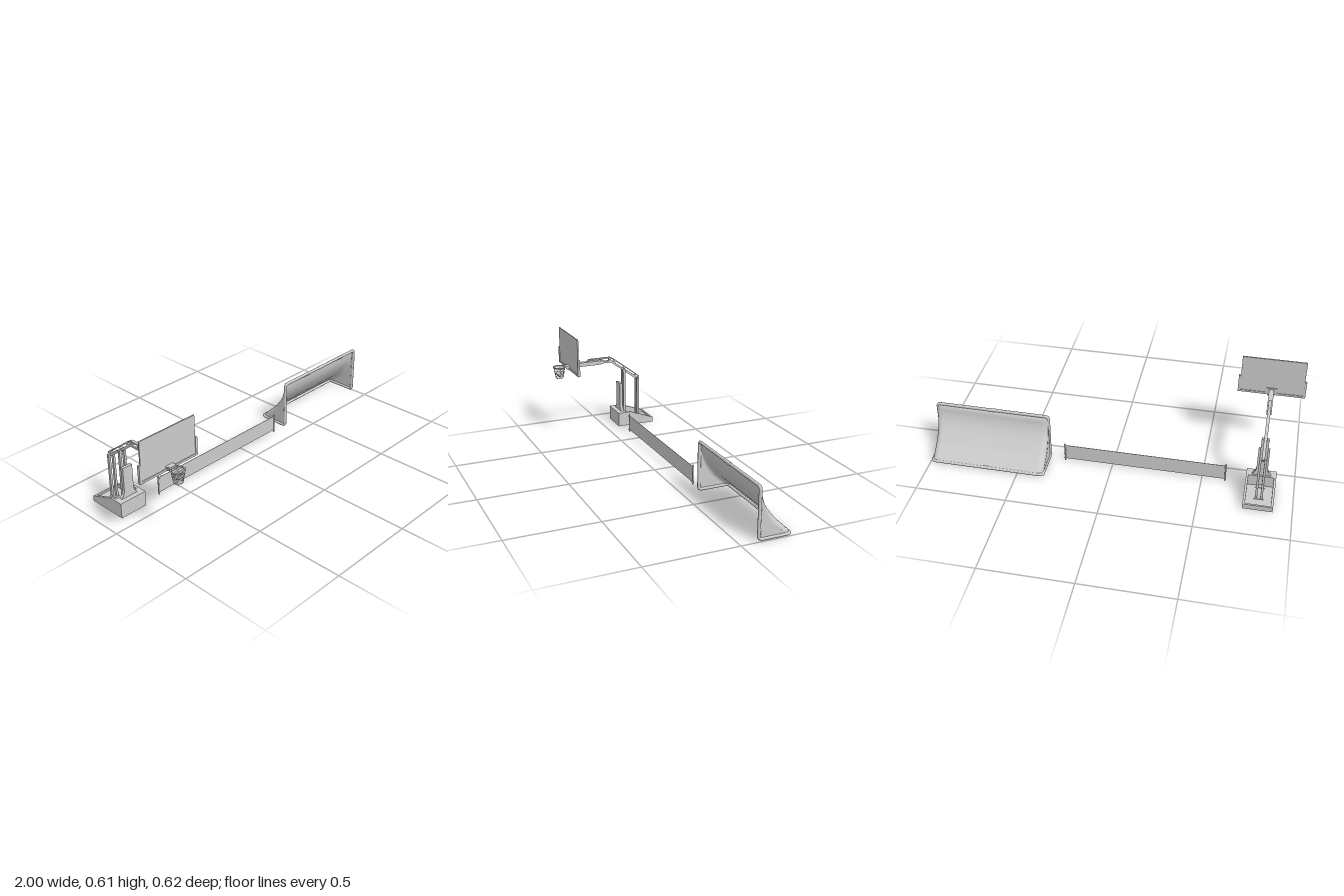
import * as THREE from 'three';

const grey = new THREE.MeshStandardMaterial({ color: 0xcccccc });
const thin = new THREE.MeshStandardMaterial({ color: 0xcccccc, side: THREE.DoubleSide });
const v3 = (x, y, z) => new THREE.Vector3(x, y, z);
const v2 = (list) => list.map(([a, b]) => new THREE.Vector2(a, b));

function add(parent, name, geometry, x = 0, y = 0, z = 0, material = grey) {
  const mesh = new THREE.Mesh(geometry, material);
  mesh.name = name;
  mesh.position.set(x, y, z);
  parent.add(mesh);
  return mesh;
}

// Box given by its ranges on the three axes
function box(parent, name, [x0, x1], [y0, y1], [z0, z1]) {
  return add(parent, name, new THREE.BoxGeometry(x1 - x0, y1 - y0, z1 - z0),
    (x0 + x1) / 2, (y0 + y1) / 2, (z0 + z1) / 2);
}

// Plate with an outline and holes, centred on its thickness
function plate(outline, depth, holes = []) {
  const shape = new THREE.Shape(v2(outline));
  holes.forEach((h) => shape.holes.push(new THREE.Path(v2(h))));
  return new THREE.ExtrudeGeometry(shape, { depth, bevelEnabled: false }).translate(0, 0, -depth / 2);
}

// Side profile in (z, y), extruded along x
const profile = (outline, width, holes) => plate(outline, width, holes).rotateY(-Math.PI / 2);

// Closed path through corners, each rounded by radius r
function roundedLoop(points, r) {
  const path = new THREE.CurvePath();
  const n = points.length;
  const toward = (a, b) => a.clone().add(b.clone().sub(a).setLength(r));
  points.forEach((p, i) => {
    const prev = points[(i + n - 1) % n], next = points[(i + 1) % n];
    path.add(new THREE.QuadraticBezierCurve3(toward(p, prev), p, toward(p, next)));
    path.add(new THREE.LineCurve3(toward(p, next), toward(next, p)));
  });
  return path;
}

function hoopBase() {
  const g = new THREE.Group();
  g.name = 'hoopBase';
  const side = [[-0.31, 0], [-0.081, 0], [-0.081, 0.086], [-0.16, 0.086], [-0.31, 0.03]];
  for (const s of [-1, 1]) add(g, 'baseSideWall', profile(side, 0.012), s * 0.074);
  box(g, 'baseFrontBlock', [-0.07, 0.07], [0, 0.086], [-0.135, -0.081]);
  box(g, 'baseRearWall', [-0.07, 0.07], [0, 0.03], [-0.31, -0.3]);
  box(g, 'baseFloor', [-0.07, 0.07], [0.008, 0.02], [-0.302, -0.13]);

  // Front cover, flared where it meets the base
  const half = [[0.052, 0.08], [0.048, 0.09], [0.036, 0.105], [0.03, 0.125], [0.03, 0.262]];
  const mirrored = half.map(([x, y]) => [-x, y]).reverse();
  add(g, 'frontColumn', plate([...half, ...mirrored], 0.017), 0, 0, -0.117);

  // Paired posts that clasp the boom
  for (const [z, top] of [[-0.144, 0.35], [-0.235, 0.286]]) {
    for (const s of [-1, 1]) {
      const x = s * 0.014;
      box(g, 'post', [x - 0.006, x + 0.006], [0.015, top], [z - 0.007, z + 0.007]);
    }
    const pin = new THREE.CylinderGeometry(0.003, 0.003, 0.043, 12).rotateZ(Math.PI / 2);
    add(g, 'postPin', pin, 0, top - 0.012, z);
    box(g, 'postFoot', [-0.026, 0.026], [0.018, 0.024], [z - 0.012, z + 0.012]);
  }
  return g;
}

function boom() {
  const g = new THREE.Group();
  g.name = 'boom';
  box(g, 'arm', [-0.0135, 0.0135], [0.396, 0.42], [0.005, 0.203]);
  const outline = [[0.095, 0.41], [0.095, 0.42], [0.083, 0.434], [-0.058, 0.434], [-0.092, 0.414],
    [-0.249, 0.293], [-0.249, 0.286], [-0.235, 0.284], [-0.229, 0.273], [-0.06, 0.4], [0.005, 0.4], [0.005, 0.41]];
  const holes = [
    [[0.083, 0.42], [0.055, 0.42], [0.055, 0.4285], [0.08, 0.4285]],
    [[0.045, 0.42], [0.006, 0.42], [0.006, 0.4285], [0.045, 0.4285]],
    [[-0.008, 0.4125], [-0.049, 0.4125], [-0.049, 0.4285], [-0.008, 0.4285]],
    [[-0.062, 0.425], [-0.085, 0.409], [-0.076, 0.4045], [-0.062, 0.4145]],
    [[-0.097, 0.4], [-0.149, 0.361], [-0.138, 0.357], [-0.088, 0.395]],
    [[-0.16, 0.3535], [-0.228, 0.302], [-0.217, 0.3], [-0.149, 0.35]],
  ];
  add(g, 'truss', profile(outline, 0.016, holes));
  return g;
}

function backboard() {
  const g = new THREE.Group();
  g.name = 'backboard';
  box(g, 'board', [-0.171, 0.171], [0.392, 0.61], [0.2045, 0.2115]);
  // U-shaped padding round the lower edge
  const pad = [[-0.182, 0.386], [0.182, 0.386], [0.182, 0.487], [0.17, 0.487], [0.17, 0.398],
    [-0.17, 0.398], [-0.17, 0.487], [-0.182, 0.487]];
  add(g, 'edgePadding', plate(pad, 0.014), 0, 0, 0.208);
  box(g, 'mountingPlate', [-0.03, 0.03], [0.392, 0.428], [0.199, 0.205]);
  return g;
}

function basket() {
  const g = new THREE.Group();
  g.name = 'basket';
  const bracket = [[0.21, 0.413], [0.238, 0.413], [0.24, 0.402], [0.232, 0.398], [0.222, 0.387], [0.21, 0.387]];
  add(g, 'rimBracket', profile(bracket, 0.034));
  for (const s of [-1, 1]) box(g, 'rimBrace', [s * 0.02 - 0.003, s * 0.02 + 0.003], [0.404, 0.412], [0.21, 0.252]);
  add(g, 'rim', new THREE.TorusGeometry(0.035, 0.004, 10, 40).rotateX(Math.PI / 2), 0, 0.4065, 0.272);

  // Net of crossing helical cords
  const cords = 14;
  for (let i = 0; i < cords; i++) {
    for (const dir of [-1, 1]) {
      const pts = [];
      for (let k = 0; k <= 12; k++) {
        const t = k / 12, a = (i / cords) * Math.PI * 2 + dir * t * 2.24;
        const r = 0.035 - 0.012 * t;
        pts.push(v3(r * Math.sin(a), 0.404 - 0.065 * t, 0.272 + r * Math.cos(a)));
      }
      add(g, 'netCord', new THREE.TubeGeometry(new THREE.CatmullRomCurve3(pts), 24, 0.0007, 4));
    }
  }
  add(g, 'netHem', new THREE.TorusGeometry(0.023, 0.0008, 4, 32).rotateX(Math.PI / 2), 0, 0.339, 0.272);
  return g;
}

function courtNet() {
  const g = new THREE.Group();
  g.name = 'courtNet';
  box(g, 'netPanel', [-0.626, 0.267], [0.012, 0.103], [-0.108, -0.106]);
  for (const x of [-0.626, 0.267]) {
    add(g, 'netPost', new THREE.CylinderGeometry(0.004, 0.004, 0.112, 16), x, 0.056, -0.107);
    for (const y of [0.014, 0.1]) add(g, 'netClamp', new THREE.CylinderGeometry(0.0058, 0.0058, 0.008, 16), x, y, -0.107);
  }
  return g;
}

function curvedRebounder() {
  const g = new THREE.Group();
  g.name = 'curvedRebounder';
  const L = 0.357, R = 0.991, F = -0.0985, B = -0.272, T = 0.279, D = 0.009;

  // One bent tube: top front bar, uprights, side runners and rear bar
  const corners = [v3(L, T, F), v3(R, T, F), v3(R, D, F), v3(R, D, B), v3(L, D, B), v3(L, D, F)];
  add(g, 'tubeFrame', new THREE.TubeGeometry(roundedLoop(corners, 0.018), 500, 0.0085, 12, true));
  const sleeve = new THREE.CylinderGeometry(0.0098, 0.0098, 0.045, 16).rotateZ(Math.PI / 2);
  add(g, 'topSleeve', sleeve, (L + R) / 2, T, F);
  add(g, 'rearSleeve', sleeve, (L + R) / 2, D + 0.001, B);

  // Middle and end profiles of the sheet in (z, y)
  const middle = new THREE.SplineCurve(v2([[-0.1, 0.281], [-0.111, 0.262], [-0.117, 0.227], [-0.131, 0.1875],
    [-0.158, 0.143], [-0.2, 0.09], [-0.23, 0.06], [-0.274, 0.016]]));
  const end = new THREE.SplineCurve(v2([[-0.1, 0.278], [-0.104, 0.256], [-0.117, 0.1875], [-0.138, 0.13],
    [-0.163, 0.0875], [-0.203, 0.05], [-0.246, 0.014]]));

  // Sheet whose two ends roll over into the side panels
  const fillet = 8, nx = fillet * 2 + 1, ny = 40, width = 0.035;
  const sheet = new THREE.PlaneGeometry(1, 1, nx, ny);
  const pos = sheet.attributes.position;
  for (let j = 0; j <= ny; j++) {
    const m = middle.getPointAt(j / ny), e = end.getPointAt(j / ny);
    for (let i = 0; i <= nx; i++) {
      const a = (Math.min(i, nx - i) / fillet) * Math.PI / 2;
      const inset = width * (1 - Math.cos(a));
      const p = e.clone().lerp(m, Math.sin(a));
      pos.setXYZ(j * (nx + 1) + i, i <= fillet ? L + inset : R - inset, p.y, p.x);
    }
  }
  sheet.computeVertexNormals();
  add(g, 'curvedSheet', sheet, 0, 0, 0, thin);

  // Flat side panels
  const rim = end.getSpacedPoints(30).map((p) => [p.x, p.y]);
  for (const x of [L, R]) add(g, 'sidePanel', profile([...rim, [F, D]], 0.002), x);
  return g;
}

export function createModel() {
  const model = new THREE.Group();
  model.name = 'sportsEquipmentSet';
  const hoop = new THREE.Group();
  hoop.name = 'basketballStand';
  hoop.add(hoopBase(), boom(), backboard(), basket());
  hoop.position.x = -0.818;
  model.add(hoop, courtNet(), curvedRebounder());
  return model;
}
